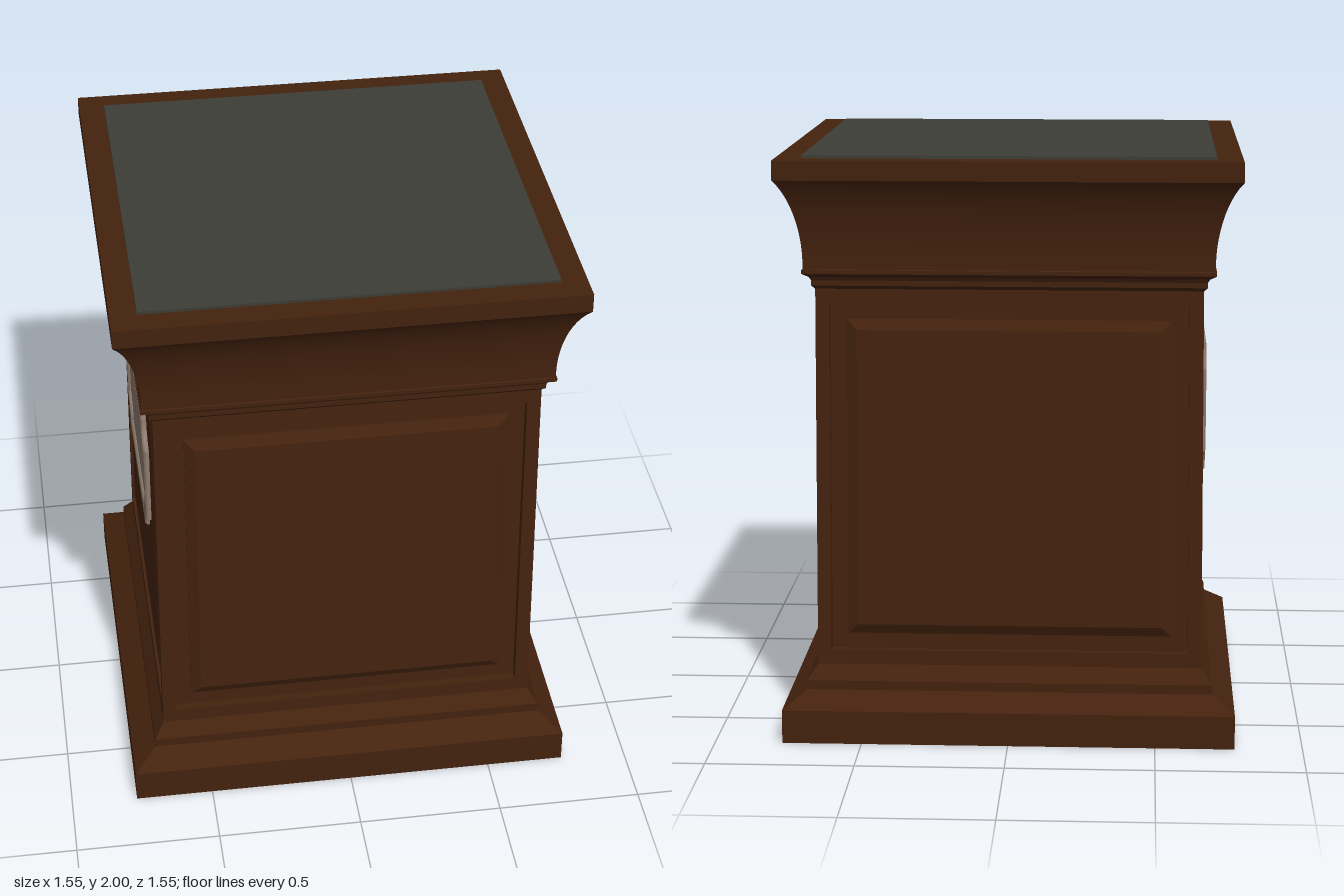
import * as THREE from 'three';
import { toCreasedNormals } from 'three/addons/utils/BufferGeometryUtils.js';

const wood = new THREE.MeshStandardMaterial({ name: 'dark brown wood', color: 0x44220e, side: THREE.DoubleSide });
const slate = new THREE.MeshStandardMaterial({ name: 'slate grey', color: 0x3d3d37 });
const metal = new THREE.MeshStandardMaterial({ name: 'dull plaque metal', color: 0x8d7a6e });

function add(parent, name, geometry, material) {
  const mesh = new THREE.Mesh(geometry, material);
  mesh.name = name;
  parent.add(mesh);
  return mesh;
}

// Square moulding: sweeps a [half width, height] profile around four sides
function squareMoulding(profile) {
  const points = profile.map(([w, y]) => new THREE.Vector2(w * Math.SQRT2, y));
  return toCreasedNormals(new THREE.LatheGeometry(points, 4, Math.PI / 4), 0.4);
}

const BODY_LOW = 0.25, BODY_HIGH = 1.55;
const bodyHalf = (y) => 0.657 - 0.008 * (y - BODY_LOW) / (BODY_HIGH - BODY_LOW);

// One slightly tapered wall: frame, recessed channel and raised, bevelled field
function panelledWall() {
  const loops = [ // inset from the corner, bottom, top, depth
    [0, BODY_LOW, BODY_HIGH, 0],
    [0.047, 0.30, 1.50, 0],
    [0.047, 0.30, 1.50, 0.03],
    [0.103, 0.355, 1.445, 0.03],
    [0.103, 0.355, 1.445, 0.022],
    [0.138, 0.39, 1.41, 0.003],
  ].map(([inset, low, high, depth]) =>
    [[-1, low], [1, low], [1, high], [-1, high]].map(([s, y]) =>
      [s * (bodyHalf(y) - inset), y, bodyHalf(y) - depth]));
  const positions = [];
  const quad = (a, b, c, d) => positions.push(...a, ...b, ...c, ...a, ...c, ...d);
  for (let k = 0; k + 1 < loops.length; k++) {
    const outer = loops[k], inner = loops[k + 1];
    for (let i = 0; i < 4; i++) {
      const j = (i + 1) % 4;
      quad(outer[i], outer[j], inner[j], inner[i]);
    }
  }
  quad(...loops[loops.length - 1]);
  const geometry = new THREE.BufferGeometry();
  geometry.setAttribute('position', new THREE.Float32BufferAttribute(positions, 3));
  geometry.computeVertexNormals();
  return geometry;
}

// Rectangle with scooped corners
function scoopedOutline(w, h, r, Type = THREE.Shape) {
  const s = new Type();
  s.moveTo(-w + r, -h);
  s.lineTo(w - r, -h);
  s.absarc(w, -h, r, Math.PI, Math.PI / 2, true);
  s.lineTo(w, h - r);
  s.absarc(w, h, r, -Math.PI / 2, -Math.PI, true);
  s.lineTo(-w + r, h);
  s.absarc(-w, h, r, 0, -Math.PI / 2, true);
  s.lineTo(-w, -h + r);
  s.absarc(-w, -h, r, Math.PI / 2, 0, true);
  return s;
}

export function createModel() {
  const model = new THREE.Group();
  model.name = 'pedestal';

  // Stepped plinth, open underneath
  add(model, 'plinth', squareMoulding([
    [0.77, 0], [0.77, 0.115], [0.692, 0.168], [0.692, 0.2], [0.657, BODY_LOW],
  ]), wood);

  // Four panelled walls
  const wall = panelledWall();
  for (let k = 0; k < 4; k++) add(model, 'panelledWall', wall, wood).rotation.y = k * Math.PI / 2;

  // Neck beads, concave cornice and top rim
  const cove = new THREE.CubicBezierCurve(
    new THREE.Vector2(0.686, 1.62), new THREE.Vector2(0.682, 1.73),
    new THREE.Vector2(0.715, 1.86), new THREE.Vector2(0.773, 1.925),
  ).getPoints(12).map((p) => [p.x, p.y]);
  add(model, 'cornice', squareMoulding([
    [0.649, BODY_HIGH], [0.661, 1.562], [0.661, 1.58], [0.668, 1.592],
    [0.69, 1.605], [0.69, 1.618], ...cove, [0.773, 1.99], [0.67, 1.99],
  ]), wood);

  // Inset top slab
  add(model, 'topSlab', new THREE.BoxGeometry(1.37, 0.02, 1.37), slate).position.y = 1.99;

  // Plaque on the model's right side
  const plaque = new THREE.Group();
  plaque.name = 'plaque';
  const border = scoopedOutline(0.385, 0.22, 0.08);
  border.holes.push(scoopedOutline(0.345, 0.18, 0.08, THREE.Path));
  add(plaque, 'plaqueBorder', new THREE.ExtrudeGeometry(border, {
    depth: 0.012, bevelThickness: 0.006, bevelSize: 0.006, bevelSegments: 1, curveSegments: 6,
  }), metal);
  add(plaque, 'plaqueFace', new THREE.ExtrudeGeometry(scoopedOutline(0.35, 0.185, 0.08), {
    depth: 0.009, bevelEnabled: false, curveSegments: 6,
  }), metal);
  plaque.position.set(-0.649, 1.095, 0);
  plaque.rotation.y = -Math.PI / 2;
  model.add(plaque);

  return model;
}
